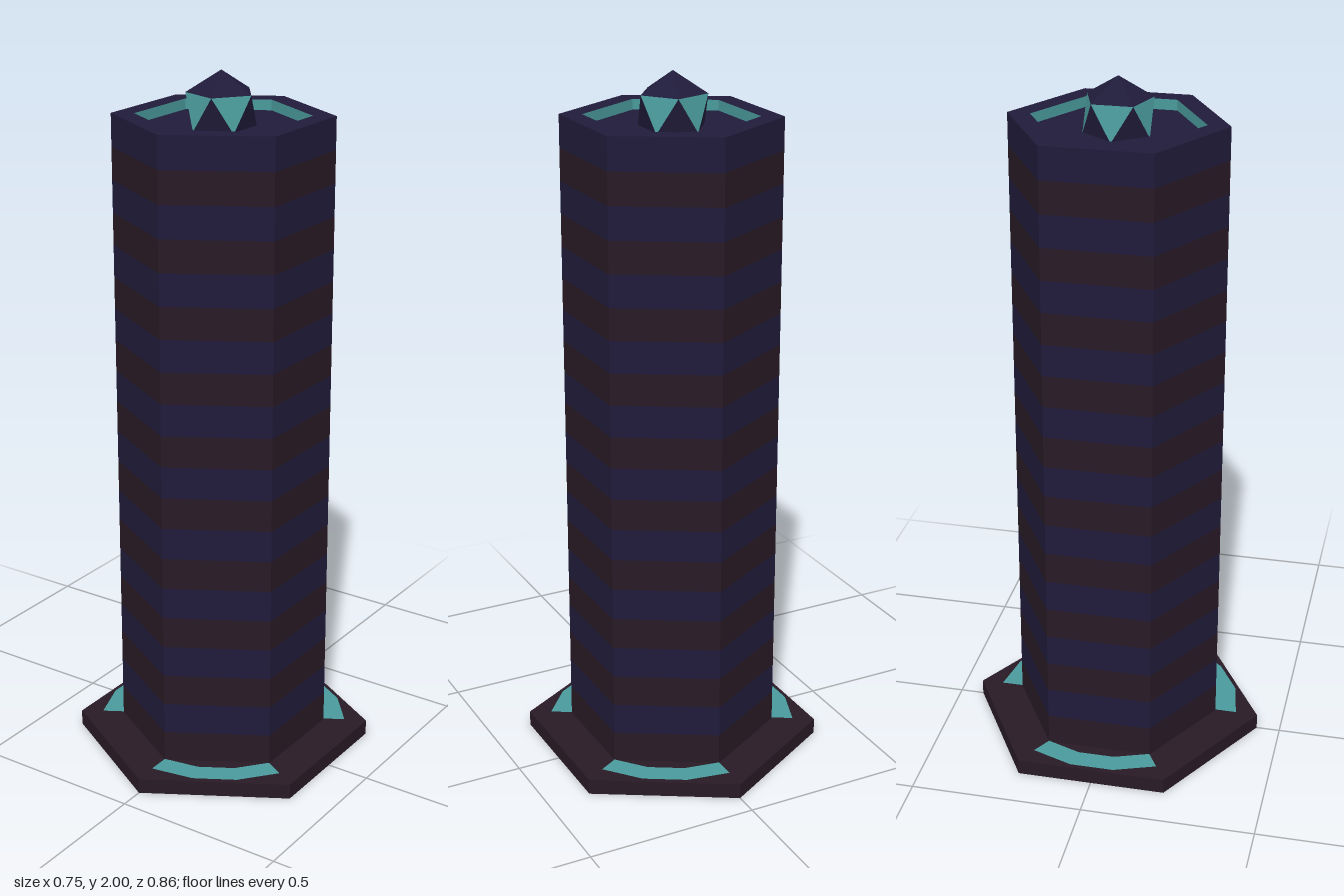
import * as THREE from 'three';

const material = (color, side = THREE.FrontSide) =>
  new THREE.MeshStandardMaterial({ color, side, flatShading: true });

const blue = material(0x1f1b3a);
const brown = material(0x281a25);
const teal = material(0x4a9a9c);
const tealInside = material(0x4a9a9c, THREE.DoubleSide);

const BASE_TOP = 0.045, TOP = 1.88, FLOOR = 1.85;
const COLUMN_R = 0.303, RECESS_R = 0.24, BASE_R = 0.431;

export function createModel() {
  const model = new THREE.Group();

  const add = (parent, name, geometry, mat, y = 0) => {
    const mesh = new THREE.Mesh(geometry, mat);
    mesh.name = name;
    mesh.position.y = y;
    parent.add(mesh);
    return mesh;
  };
  const part = (name) => {
    const group = new THREE.Group();
    group.name = name;
    model.add(group);
    return group;
  };

  // Hexagonal base plate: side, top, underside
  add(model, 'basePlate', new THREE.CylinderGeometry(BASE_R, BASE_R, BASE_TOP, 6),
    [brown, brown, blue], BASE_TOP / 2);

  // Glowing strips along every second side of the column's foot
  const strips = part('baseStrips');
  for (let i = 0; i < 3; i++) {
    const start = Math.PI / 6 + (i * Math.PI * 2) / 3;
    const strip = new THREE.RingGeometry(COLUMN_R, 0.366, 1, 1, start, Math.PI / 3);
    add(strips, 'baseStrip', strip.rotateX(-Math.PI / 2), teal, BASE_TOP + 0.002);
  }

  // Column of alternating bands
  const column = part('column');
  const bands = 20, h = (TOP - BASE_TOP) / bands;
  for (let i = 0; i < bands; i++) {
    add(column, 'columnBand', new THREE.CylinderGeometry(COLUMN_R, COLUMN_R, h, 6, 1, true),
      i % 2 ? blue : brown, BASE_TOP + (i + 0.5) * h);
  }

  // Rim and shallow recess on top
  const top = part('columnTop');
  const rim = new THREE.RingGeometry(RECESS_R, COLUMN_R, 6, 1, Math.PI / 2);
  add(top, 'rim', rim.rotateX(-Math.PI / 2), blue, TOP);
  add(top, 'recessWall',
    new THREE.CylinderGeometry(RECESS_R, RECESS_R, TOP - FLOOR, 6, 1, true),
    tealInside, (TOP + FLOOR) / 2);
  const floor = new THREE.CircleGeometry(RECESS_R, 6, Math.PI / 2);
  add(top, 'recessFloor', floor.rotateX(-Math.PI / 2), blue, FLOOR);

  // Faceted gem: pentagonal cap over a band of triangles, every second one teal
  const gem = part('gem');
  gem.position.set(-0.005, 1.893, 0.002);
  const r = 0.107;
  const ring = (k, y) => {
    const a = (k * Math.PI * 2) / 5;
    return [Math.cos(a) * r * 0.894, y * r, Math.sin(a) * r * 0.894];
  };
  const dark = [], bright = [];
  for (let k = 0; k < 5; k++) {
    const a = ring(k, 0.447), b = ring(k + 1, 0.447);
    const low = ring(k + 0.5, -0.447), before = ring(k - 0.5, -0.447);
    dark.push(0, r, 0, ...b, ...a, ...low, ...before, ...a);
    dark.push(0, -r, 0, ...before, ...low);
    bright.push(...a, ...b, ...low);
  }
  const facets = (positions) => {
    const geometry = new THREE.BufferGeometry();
    geometry.setAttribute('position', new THREE.Float32BufferAttribute(positions, 3));
    geometry.computeVertexNormals();
    return geometry;
  };
  add(gem, 'darkFacets', facets(dark), blue);
  add(gem, 'brightFacets', facets(bright), teal);

  return model;
}
